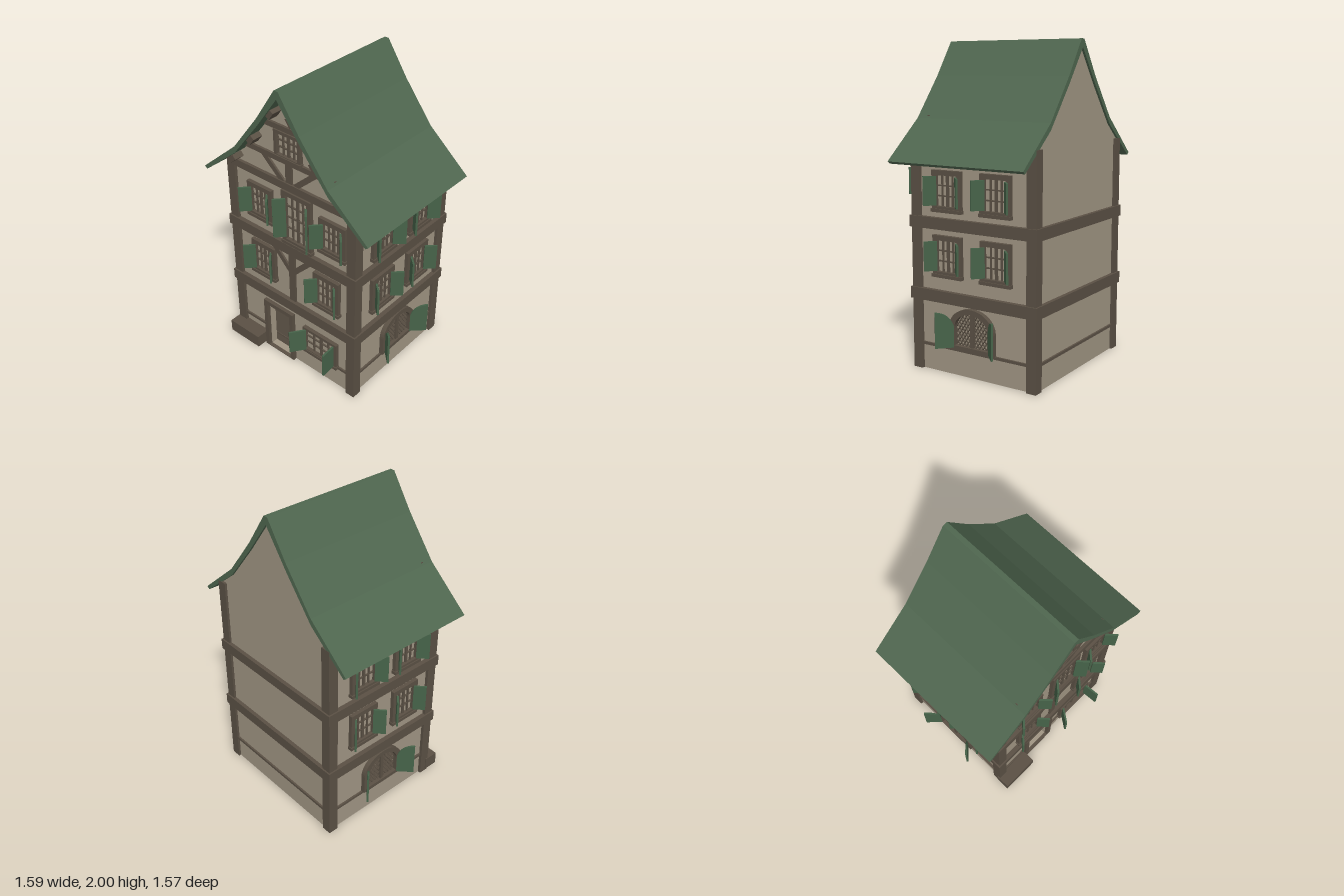
import * as THREE from 'three';

const mat = (color) => new THREE.MeshStandardMaterial({ color, side: THREE.DoubleSide });
const WALL = mat(0xa09583), TIMBER = mat(0x5a5044), ROOF = mat(0x4f664f), SHUTTER = mat(0x466349), DOOR = mat(0x62574a);

// wall planes and the half profile of the roof underside
const HALF = 0.49, FRONT = 0.39, BACK = -0.46;
const GABLE = [[0.49, 1.39], [0.36, 1.505], [0.16, 1.755], [0, 1.97]];

function add(parent, name, geometry, material, x = 0, y = 0, z = 0) {
  const m = new THREE.Mesh(geometry, material);
  m.name = name;
  m.position.set(x, y, z);
  parent.add(m);
  return m;
}

// box given by its limits
function block(parent, name, x0, x1, y0, y1, z0, z1, material = TIMBER) {
  return add(parent, name, new THREE.BoxGeometry(x1 - x0, y1 - y0, z1 - z0), material,
    (x0 + x1) / 2, (y0 + y1) / 2, (z0 + z1) / 2);
}

// straight bar between two points of a wall face
function bar(parent, name, x0, y0, x1, y1, width, depth) {
  const m = add(parent, name, new THREE.BoxGeometry(Math.hypot(x1 - x0, y1 - y0), width, depth), TIMBER,
    (x0 + x1) / 2, (y0 + y1) / 2, depth / 2);
  m.rotation.z = Math.atan2(y1 - y0, x1 - x0);
}

const polygon = (pts) => new THREE.Shape(pts.map(([x, y]) => new THREE.Vector2(x, y)));
const rect = (x0, x1, y0, y1) => polygon([[x0, y0], [x1, y0], [x1, y1], [x0, y1]]);
const extrude = (shape, depth) => new THREE.ExtrudeGeometry(shape, { depth, bevelEnabled: false, curveSegments: 12 });

function frame(parent, name, outer, inner, depth) {
  outer.holes.push(inner);
  return add(parent, name, extrude(outer, depth), TIMBER);
}

// hinged panel swung out from the wall; side is -1 or 1
function shutter(parent, x, y0, side, geometry, angle) {
  const hinge = new THREE.Group();
  hinge.name = 'shutter';
  hinge.position.set(x, y0, 0.02);
  hinge.rotation.y = -side * angle;
  const panel = add(hinge, 'shutterPanel', geometry, SHUTTER);
  panel.scale.x = side;
  parent.add(hinge);
}

function window_(parent, x, y0, y1, w, { cols = 4, rows = 3, shutterW = 0.08, inset = 0.035, angles = [0.83, 0.83], rim = 0.03 } = {}) {
  const g = new THREE.Group();
  g.name = 'window';
  g.position.x = x;
  const h = w / 2, a = h - rim, b0 = y0 + rim, b1 = y1 - rim;
  frame(g, 'windowFrame', rect(-h, h, y0, y1), rect(-a, a, b0, b1), 0.025);
  block(g, 'windowSill', -h - 0.005, h + 0.005, y0 - 0.005, y0 + 0.015, 0, 0.032);
  for (let i = 1; i < cols; i++) {
    const u = -a + (2 * a * i) / cols, t = i * 2 === cols ? 0.008 : 0.004;
    block(g, 'glazingBar', u - t, u + t, b0, b1, 0, 0.012);
  }
  for (let i = 1; i < rows; i++) {
    const v = b0 + ((b1 - b0) * i) / rows;
    block(g, 'glazingBar', -a, a, v - 0.004, v + 0.004, 0, 0.01);
  }
  if (shutterW) [-1, 1].forEach((s, i) =>
    shutter(g, s * a, y0 + inset, s, extrude(rect(0, shutterW, 0, y1 - y0 - 2 * inset), 0.012), angles[i]));
  parent.add(g);
}

// outline with a half-elliptical head
function arch(h, y0, spring, top) {
  const s = new THREE.Shape();
  s.moveTo(-h, y0);
  s.lineTo(h, y0);
  s.lineTo(h, spring);
  s.absellipse(0, spring, h, top - spring, 0, Math.PI, false);
  s.closePath();
  return s;
}

function archWindow(parent, x) {
  const g = new THREE.Group();
  g.name = 'archWindow';
  g.position.x = x;
  const y0 = 0.195, spring = 0.3, top = 0.4, a = 0.12;
  frame(g, 'archFrame', arch(0.16, 0.17, spring, 0.43), arch(a, y0, spring, top), 0.03);
  block(g, 'mullion', -0.011, 0.011, y0, top, 0, 0.02);
  // diamond lattice, each line clipped to the arch
  const inside = (u, v) => Math.abs(u) < a && v > y0 &&
    (v < spring || (u / a) ** 2 + ((v - spring) / (top - spring)) ** 2 < 1);
  for (const s of [-1, 1]) for (let c = -0.2; c < 0.65; c += 0.036) {
    let lo = null, hi = null;
    for (let u = -a; u <= a; u += 0.004) if (inside(u, c + s * u * 1.5)) { lo ??= u; hi = u; }
    if (lo !== null && hi > lo) bar(g, 'leadBar', lo, c + s * lo * 1.5, hi, c + s * hi * 1.5, 0.004, 0.01);
  }
  const leaf = new THREE.Shape();
  leaf.moveTo(0, 0);
  leaf.lineTo(0.115, 0);
  leaf.lineTo(0.115, 0.22);
  leaf.quadraticCurveTo(0.03, 0.215, 0, 0.13);
  for (const s of [-1, 1]) shutter(g, s * 0.13, 0.18, s, extrude(leaf, 0.012), 0.8);
  parent.add(g);
}

function face(parent, name, x, z, turn) {
  const g = new THREE.Group();
  g.name = name;
  g.position.set(x, 0, z);
  g.rotation.y = turn;
  parent.add(g);
  return g;
}

export function createModel() {
  const house = new THREE.Group();
  house.name = 'house';
  house.rotation.y = -0.741;

  // walls, open underneath
  const mirror = GABLE.slice(0, 3).reverse().map(([x, y]) => [-x, y]);
  const outline = [[-HALF, 0], [HALF, 0], ...GABLE, ...mirror];
  const frontShape = polygon(outline);
  frontShape.holes.push(rect(-0.225, -0.03, 0.005, 0.36));
  add(house, 'frontWall', extrude(frontShape, 0.02), WALL, 0, 0, FRONT - 0.02);
  add(house, 'backWall', extrude(polygon(outline), 0.02), WALL, 0, 0, BACK);
  for (const s of [-1, 1]) {
    add(house, 'sideWall', new THREE.BoxGeometry(0.02, 1.38, FRONT - BACK - 0.04), WALL, s * (HALF - 0.01), 0.69, (FRONT + BACK) / 2);
    // corner posts
    for (const z of [0.3775, -0.4425])
      add(house, 'cornerPost', new THREE.BoxGeometry(0.065, 1.39, 0.065), TIMBER, s * 0.4775, 0.695, z);
  }

  // floor beams and the thin sill rail around the house
  for (const [y0, y1, out] of [[0.44, 0.512, 0.03], [0.885, 0.955, 0.03], [0.153, 0.17, 0.012]]) {
    const x = HALF + out, f = FRONT + out, b = BACK - Math.min(out, 0.025);
    for (const s of [-1, 1]) block(house, 'sideBeam', s > 0 ? HALF - 0.01 : -x, s > 0 ? x : 0.01 - HALF, y0, y1, b, f);
    block(house, 'backBeam', -HALF, HALF, y0, y1, b, BACK + 0.01);
    const spans = y0 < 0.2 ? [[-HALF, -0.25], [0, HALF]] : [[-HALF, HALF]];
    for (const [x0, x1] of spans) block(house, 'frontBeam', x0, x1, y0, y1, FRONT - 0.01, f);
  }

  // roof: a thin flared shell with a narrow flat ridge
  const outer = [[0.644, 1.287], [0.36, 1.53], [0.16, 1.785], [0.015, 2]];
  const inner = [[0, 1.95], [0.16, 1.735], [0.36, 1.487], [0.625, 1.272]];
  const flip = (p) => p.map(([x, y]) => [-x, y]).reverse();
  const shell = [...outer, ...flip(outer), ...flip(inner), ...inner.slice(1)];
  add(house, 'roof', extrude(polygon(shell), 0.948), ROOF, 0, 0, -0.474);

  // purlin ends below the front verge
  for (const s of [-1, 1]) for (const [x, y, tilt] of [[0.41, 1.42, 0.72], [0.24, 1.61, 0.9], [0.075, 1.83, 0.95]]) {
    const p = add(house, 'purlinEnd', new THREE.BoxGeometry(0.06, 0.035, 0.08), TIMBER, s * x, y, 0.42);
    p.rotation.z = -s * tilt;
  }

  // front: timber framing
  const front = face(house, 'front', 0, FRONT, 0);
  bar(front, 'gableBeam', -0.48, 1.365, 0.48, 1.365, 0.05, 0.02);
  bar(front, 'gableBeam', -0.35, 1.53, 0.35, 1.53, 0.035, 0.016);
  bar(front, 'collarBeam', -0.17, 1.735, 0.17, 1.735, 0.035, 0.016);
  bar(front, 'gablePost', 0, 1.38, 0, 1.52, 0.05, 0.012);
  bar(front, 'middlePost', 0, 0.5, 0, 0.9, 0.05, 0.012);
  for (const s of [-1, 1]) {
    bar(front, 'gableBrace', s * 0.05, 1.385, s * 0.2, 1.52, 0.035, 0.012);
    bar(front, 'floorBrace', s * 0.01, 0.74, s * 0.16, 0.895, 0.035, 0.012);
  }

  // front: windows
  window_(front, 0.005, 1.545, 1.72, 0.2, { shutterW: 0, rim: 0.02 });
  window_(front, -0.24, 1.04, 1.28, 0.2);
  window_(front, 0.06, 0.965, 1.335, 0.23, { rows: 4, inset: 0.05 });
  window_(front, 0.335, 1.035, 1.27, 0.2);
  window_(front, -0.235, 0.6, 0.85, 0.2);
  window_(front, 0.285, 0.6, 0.85, 0.2);
  window_(front, 0.23, 0.16, 0.355, 0.28, { rim: 0.02, inset: 0.015, shutterW: 0.11, angles: [0.95, 1.5] });

  // front: recessed door and bench
  frame(front, 'doorFrame', rect(-0.255, 0, 0, 0.39), rect(-0.225, -0.03, 0.005, 0.36), 0.025);
  frame(front, 'doorReveal', rect(-0.235, -0.02, 0, 0.37), rect(-0.222, -0.033, 0.006, 0.357), 0.06).position.z = -0.06;
  front.getObjectByName('doorReveal').material = WALL;
  block(front, 'door', -0.225, -0.03, 0.005, 0.36, -0.06, -0.045, DOOR);
  for (const y of [0.07, 0.29]) block(front, 'doorHinge', -0.215, -0.09, y, y + 0.012, -0.045, -0.04);
  add(front, 'doorHandle', new THREE.SphereGeometry(0.009, 10, 8), TIMBER, -0.055, 0.17, -0.037);
  block(front, 'bench', -0.516, -0.256, 0.015, 0.1, 0, 0.097);

  // sides: two floors of windows over one arched window, mirrored
  for (const s of [-1, 1]) {
    const side = face(house, s > 0 ? 'leftSide' : 'rightSide', s * HALF, 0, s * Math.PI / 2);
    for (const z of [0.145, -0.2]) {
      window_(side, -s * z, 0.995, 1.24, 0.21);
      window_(side, -s * z, 0.6, 0.85, 0.21);
    }
    archWindow(side, s * 0.03);
  }

  const model = new THREE.Group();
  model.name = 'timberFramedHouse';
  model.add(house);
  return model;
}
